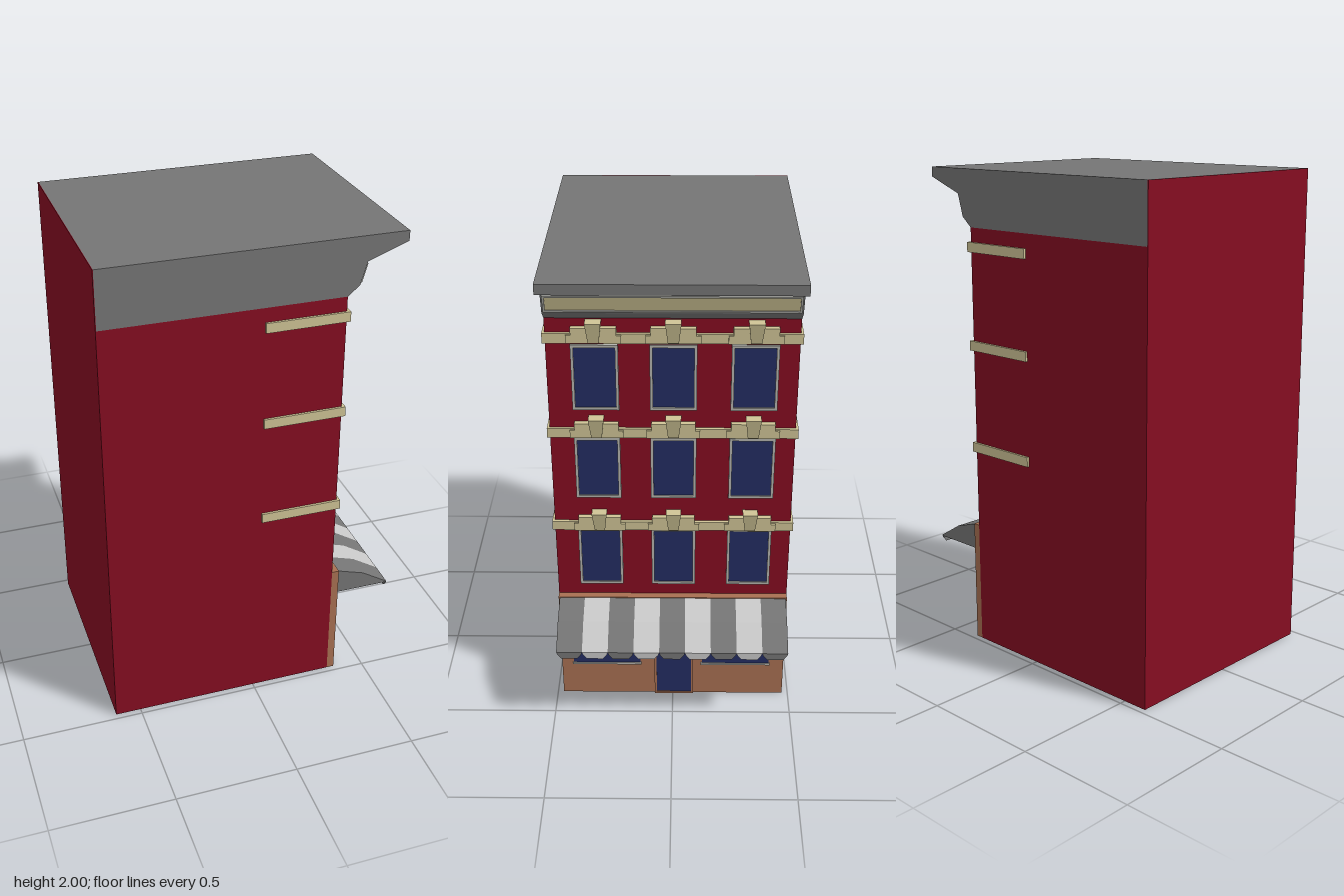
import * as THREE from 'three';

const material = (name, color) => {
  const m = new THREE.MeshStandardMaterial({ color });
  m.name = name;
  return m;
};

export function createModel() {
  const red = material('red brick', 0x850d21);
  const grey = material('roof grey', 0x757575);
  const cream = material('cream stone', 0xcfc496);
  const brown = material('brown shopfront', 0xa87052);
  const blue = material('blue glass', 0x232d63);
  const light = material('light awning stripe', 0xc8c8c8);
  const trim = material('window trim', 0xb4b4ae);

  const model = new THREE.Group();
  model.name = 'townhouse';

  const add = (name, geometry, mat, parent = model) => {
    const mesh = new THREE.Mesh(geometry, mat);
    mesh.name = name;
    parent.add(mesh);
    return mesh;
  };
  // Box given by its limits on each axis
  const box = (name, mat, [x0, x1], [y0, y1], [z0, z1], parent) => {
    const mesh = add(name, new THREE.BoxGeometry(x1 - x0, y1 - y0, z1 - z0), mat, parent);
    mesh.position.set((x0 + x1) / 2, (y0 + y1) / 2, (z0 + z1) / 2);
    return mesh;
  };
  const outline = (points) => new THREE.Shape(points.map(([x, y]) => new THREE.Vector2(x, y)));
  const extrude = (shape, depth) => new THREE.ExtrudeGeometry(shape, { depth, bevelEnabled: false });
  // Side profile (x, y) run along z
  const alongZ = (name, mat, points, z0, z1, parent) => {
    const mesh = add(name, extrude(outline(points), z1 - z0), mat, parent);
    mesh.position.z = z0;
    return mesh;
  };
  // Facade outline, centred across, pushed out toward +x
  const onFacade = (name, mat, shape, x, y, z, depth, parent) => {
    const mesh = add(name, extrude(shape, depth).rotateY(Math.PI / 2), mat, parent);
    mesh.position.set(x, y, z);
    return mesh;
  };
  const frameShape = (w, h, t) => {
    const s = outline([[-w / 2, 0], [w / 2, 0], [w / 2, h], [-w / 2, h]]);
    s.holes.push(outline([[-w / 2 + t, t], [-w / 2 + t, h - t], [w / 2 - t, h - t], [w / 2 - t, t]]));
    return s;
  };

  const BACK = -0.605, WALL = 0.345, SHOP = 0.376, HALF = 0.475;

  // Main block
  box('walls', red, [BACK, WALL], [0, 1.77], [-HALF, HALF]);

  // Roof with overhanging cornice; its rear face is brick
  alongZ('roof', grey, [
    [BACK + 0.003, 1.77], [WALL, 1.77], [0.392, 1.81], [0.418, 1.9],
    [0.578, 1.96], [0.578, 2], [BACK + 0.003, 2],
  ], -HALF, HALF);
  box('rearParapet', red, [BACK, BACK + 0.003], [1.77, 2], [-HALF, HALF]);

  // Panel on the sloping cornice face
  const panel = new THREE.Group();
  panel.name = 'cornicePanel';
  panel.position.set(0.405, 1.855, 0);
  panel.rotation.z = -Math.atan2(0.026, 0.09);
  model.add(panel);
  box('panelFace', cream, [0, 0.003], [-0.034, 0.034], [-0.465, 0.465], panel);
  for (const s of [-1, 1]) {
    box('panelRail', trim, [0, 0.007], [s * 0.034 - 0.004, s * 0.034 + 0.004], [-0.469, 0.469], panel);
    box('panelEnd', trim, [0, 0.007], [-0.036, 0.036], [s * 0.465 - 0.004, s * 0.465 + 0.004], panel);
  }

  // Keystone wedge, narrower and shallower at its foot
  const keystone = new THREE.BoxGeometry(0.045, 0.085, 0.06);
  const p = keystone.attributes.position;
  for (let i = 0; i < p.count; i++) {
    if (p.getY(i) > 0) continue;
    p.setZ(i, p.getZ(i) * 0.68);
    if (p.getX(i) > 0) p.setX(i, p.getX(i) - 0.018);
  }
  keystone.computeVertexNormals();
  const lintel = outline([
    [-0.103, 0], [0.103, 0], [0.103, 0.032], [0.085, 0.032], [0.085, 0.062],
    [-0.085, 0.062], [-0.085, 0.032], [-0.103, 0.032],
  ]);

  // Three upper storeys: window bottom, string course bottom
  for (const [sill, band] of [[0.57, 0.84], [0.993, 1.27], [1.39, 1.672]]) {
    const storey = new THREE.Group();
    storey.name = 'storey';
    model.add(storey);
    box('stringCourse', cream, [0.025, 0.358], [band, band + 0.04], [-0.485, 0.485], storey);
    for (const z of [0.293, -0.003, -0.31]) {
      box('windowGlass', blue, [WALL, WALL + 0.004], [sill, sill + 0.27], [z - 0.085, z + 0.085], storey);
      onFacade('windowFrame', trim, frameShape(0.178, 0.274, 0.011), WALL, sill, z, 0.01, storey);
      onFacade('lintel', cream, lintel, WALL, band + 0.004, z, 0.022, storey);
      add('keystone', keystone, cream, storey).position.set(WALL + 0.0225, band + 0.0505, z);
    }
  }

  // Shopfront
  box('shopfront', brown, [WALL, SHOP], [0, 0.515], [-HALF, HALF]);
  for (const z of [0.282, -0.268]) {
    box('shopWindow', blue, [SHOP, SHOP + 0.003], [0.165, 0.4], [z - 0.143, z + 0.143]);
    box('shopSill', trim, [SHOP, SHOP + 0.007], [0.16, 0.169], [z - 0.148, z + 0.148]);
  }
  box('door', blue, [SHOP, SHOP + 0.003], [0.004, 0.31], [-0.08, 0.07]);
  onFacade('doorFrame', brown, frameShape(0.166, 0.32, 0.009), SHOP, 0, -0.005, 0.007);

  // Striped awning with a scalloped hem
  const awning = new THREE.Group();
  awning.name = 'awning';
  model.add(awning);
  const N = 9, W = 0.94 / N;
  const tooth = outline([
    [-W / 2, 0], [-W / 2 + 0.004, -0.012], [-W / 2 + 0.02, -0.032],
    [W / 2 - 0.02, -0.032], [W / 2 - 0.004, -0.012], [W / 2, 0],
  ]);
  for (let i = 0; i < N; i++) {
    const z0 = -0.47 + i * W;
    const mat = i % 2 ? light : grey;
    alongZ('awningStripe', mat, [[SHOP, 0.406], [0.603, 0.406], [0.49, 0.476], [SHOP, 0.512]], z0, z0 + W, awning);
    onFacade('awningScallop', mat, tooth, 0.6, 0.407, z0 + W / 2, 0.003, awning);
  }
  box('awningUnderside', grey, [SHOP, 0.599], [0.403, 0.406], [-0.47, 0.47], awning);

  return model;
}
